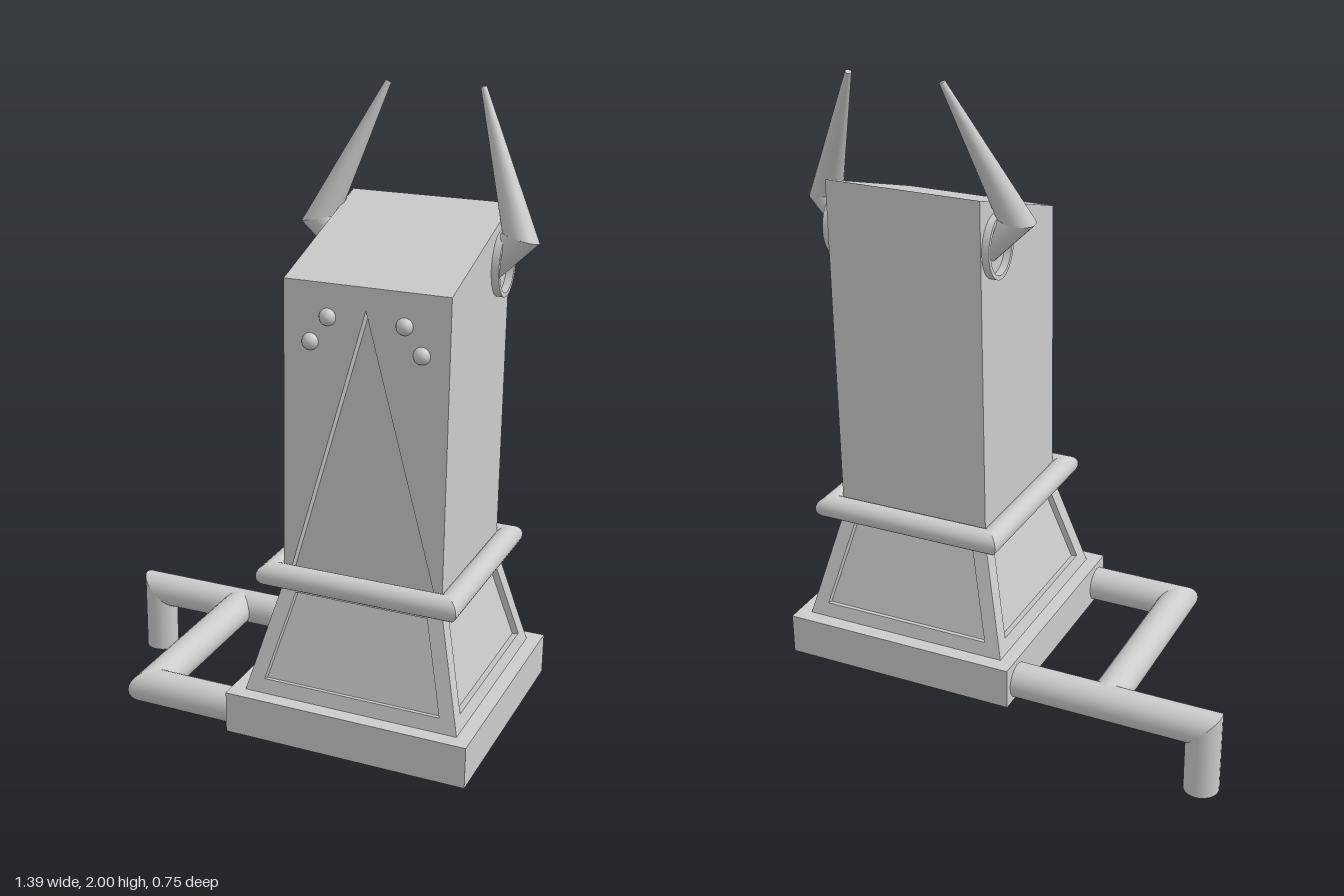
import * as THREE from 'three';

const V = (x, y, z) => new THREE.Vector3(x, y, z);
const grey = () => new THREE.MeshStandardMaterial({ color: 0xcccccc });

function add(parent, name, geometry, material = grey()) {
  const mesh = new THREE.Mesh(geometry, material);
  mesh.name = name;
  parent.add(mesh);
  return mesh;
}

// Round pipe along straight runs with mitred corners; one radius per point.
function mitredPipe(points, radii, closed = false, sides = 24) {
  const n = points.length, runs = closed ? n : n - 1;
  const dir = i => points[(i + 1) % n].clone().sub(points[i % n]).normalize();
  const pos = [], nor = [], idx = [];
  for (let i = 0; i < runs; i++) {
    const d = dir(i);
    const u = V(0, 1, 0);
    if (Math.abs(d.y) > 0.95) u.set(1, 0, 0);
    u.addScaledVector(d, -u.dot(d)).normalize();
    const w = d.clone().cross(u);
    const ends = [
      { p: i, cut: closed || i > 0 ? d.clone().add(dir((i + runs - 1) % runs)) : d, open: !closed && i === 0 },
      { p: (i + 1) % n, cut: closed || i < runs - 1 ? d.clone().add(dir((i + 1) % runs)) : d, open: !closed && i === runs - 1 },
    ];
    const start = pos.length / 3;
    ends.forEach(e => {
      for (let k = 0; k <= sides; k++) {
        const a = k / sides * Math.PI * 2;
        const out = u.clone().multiplyScalar(Math.cos(a)).addScaledVector(w, Math.sin(a));
        const off = out.clone().multiplyScalar(radii[e.p]);
        off.addScaledVector(d, -off.dot(e.cut) / d.dot(e.cut)).add(points[e.p]);
        pos.push(...off.toArray());
        nor.push(...out.toArray());
      }
    });
    for (let k = 0; k < sides; k++) {
      const a = start + k, b = a + sides + 1;
      idx.push(a, a + 1, b, a + 1, b + 1, b);
    }
    // Flat caps on the free ends
    ends.forEach((e, j) => {
      if (!e.open) return;
      const nrm = d.clone().multiplyScalar(j ? 1 : -1).toArray();
      const c = pos.length / 3, rim = start + j * (sides + 1);
      pos.push(...points[e.p].toArray());
      nor.push(...nrm);
      for (let k = 0; k <= sides; k++) {
        pos.push(...pos.slice((rim + k) * 3, (rim + k) * 3 + 3));
        nor.push(...nrm);
      }
      for (let k = 1; k <= sides; k++) idx.push(c, ...(j ? [c + k, c + k + 1] : [c + k + 1, c + k]));
    });
  }
  const g = new THREE.BufferGeometry();
  g.setAttribute('position', new THREE.Float32BufferAttribute(pos, 3));
  g.setAttribute('normal', new THREE.Float32BufferAttribute(nor, 3));
  g.setIndex(idx);
  return g;
}

const polygon = pts => pts.map(p => new THREE.Vector2(...p));
const extrude = (shape, depth) => new THREE.ExtrudeGeometry(shape, { depth, bevelEnabled: false, curveSegments: 32 });

export function createModel() {
  const model = new THREE.Group();
  model.name = 'hornedPost';
  const post = new THREE.Group();
  post.name = 'post';
  post.position.x = 0.32;
  model.add(post);

  // Base slab
  add(post, 'baseSlab', new THREE.BoxGeometry(0.745, 0.128, 0.75)).position.y = 0.219;

  // Tapered plinth: a core with four framed faces around it
  const y0 = 0.28, y1 = 0.63, w0 = 0.33, w1 = 0.24, recess = 0.02;
  const tilt = Math.atan2(w0 - w1, y1 - y0), cos = Math.cos(tilt);
  const inset = recess / cos;
  const coreMat = grey();
  coreMat.flatShading = true;
  const core = new THREE.CylinderGeometry((w1 - inset) * Math.SQRT2, (w0 - inset) * Math.SQRT2, y1 - y0, 4);
  core.rotateY(Math.PI / 4);
  add(post, 'plinthCore', core, coreMat).position.y = (y0 + y1) / 2;

  const up = y => (y - y0) / cos;
  const frame = new THREE.Shape(polygon([[-w0, 0], [w0, 0], [w1, up(y1)], [-w1, up(y1)]]));
  frame.holes.push(new THREE.Path(polygon([
    [-0.272, up(0.325)], [-0.203, up(0.59)], [0.203, up(0.59)], [0.272, up(0.325)],
  ])));
  const frameGeo = extrude(frame, recess);
  frameGeo.translate(0, 0, -recess);
  for (let i = 0; i < 4; i++) {
    const side = new THREE.Group();
    side.name = 'plinthSide';
    side.rotation.y = i * Math.PI / 2;
    post.add(side);
    const panel = add(side, 'plinthFrame', frameGeo);
    panel.position.set(0, y0, w0);
    panel.rotation.x = -tilt;
  }

  // Square collar of round moulding
  const c = 0.27;
  add(post, 'collar', mitredPipe(
    [V(-c, 0.645, c), V(c, 0.645, c), V(c, 0.645, -c), V(-c, 0.645, -c)], [0.036, 0.036, 0.036, 0.036], true));

  // Column with a sloping top; a notched front slab forms the triangular recess
  const h = 0.243, bottom = 0.6, front = 1.525, back = 1.68, notch = 0.035;
  const rise = notch * (back - front) / (2 * h);
  const profile = new THREE.Shape(polygon([
    [-h + notch, bottom], [h, bottom], [h, back], [-h + notch, front + rise],
  ]));
  const body = extrude(profile, 2 * h);
  body.translate(0, 0, -h);
  body.rotateY(Math.PI / 2);
  add(post, 'column', body);

  const slab = extrude(new THREE.Shape(polygon([
    [-h, bottom], [-0.237, bottom], [0, 1.46], [0.237, bottom], [h, bottom], [h, front], [-h, front],
  ])), notch);
  const sp = slab.attributes.position;
  for (let i = 0; i < sp.count; i++) {
    if (sp.getY(i) > 1.5 && sp.getZ(i) < 0.001) sp.setY(i, front + rise);
  }
  slab.computeVertexNormals();
  add(post, 'columnFront', slab).position.z = h - notch;

  // Eyes, horn sockets and horns on both sides
  const ring = new THREE.Shape().absellipse(0, 0, 0.08, 0.095, 0, Math.PI * 2);
  ring.holes.push(new THREE.Path().absellipse(0, 0, 0.068, 0.082, 0, Math.PI * 2, true));
  const ringGeo = extrude(ring, 0.03);
  const eyeGeo = new THREE.SphereGeometry(0.025, 20, 14);
  for (const s of [-1, 1]) {
    const name = s > 0 ? 'left' : 'right';
    add(post, name + 'InnerEye', eyeGeo).position.set(s * 0.112, 1.43, 0.24);
    add(post, name + 'OuterEye', eyeGeo).position.set(s * 0.163, 1.355, 0.24);

    const socket = add(post, name + 'HornSocket', ringGeo);
    socket.rotation.y = s * Math.PI / 2;
    socket.position.set(s * (h - 0.008), 1.525, -0.157);

    add(post, name + 'Horn', mitredPipe(
      [V(s * 0.2, 1.505, -0.157), V(s * 0.304, 1.607, -0.143), V(s * 0.143, 1.997, -0.253)],
      [0.047, 0.047, 0.009]));
  }

  // Side pipes: a long one ending in a foot, and a bent one joining it
  const r = 0.054, py = 0.21;
  add(model, 'footPipe', mitredPipe(
    [V(0, py, -0.3), V(-0.646, py, -0.3), V(-0.646, 0, -0.3)], [r, r, r]));
  add(model, 'bracePipe', mitredPipe(
    [V(0, py, 0.314), V(-0.337, py, 0.314), V(-0.337, py, -0.3)], [r, r, r]));

  return model;
}
